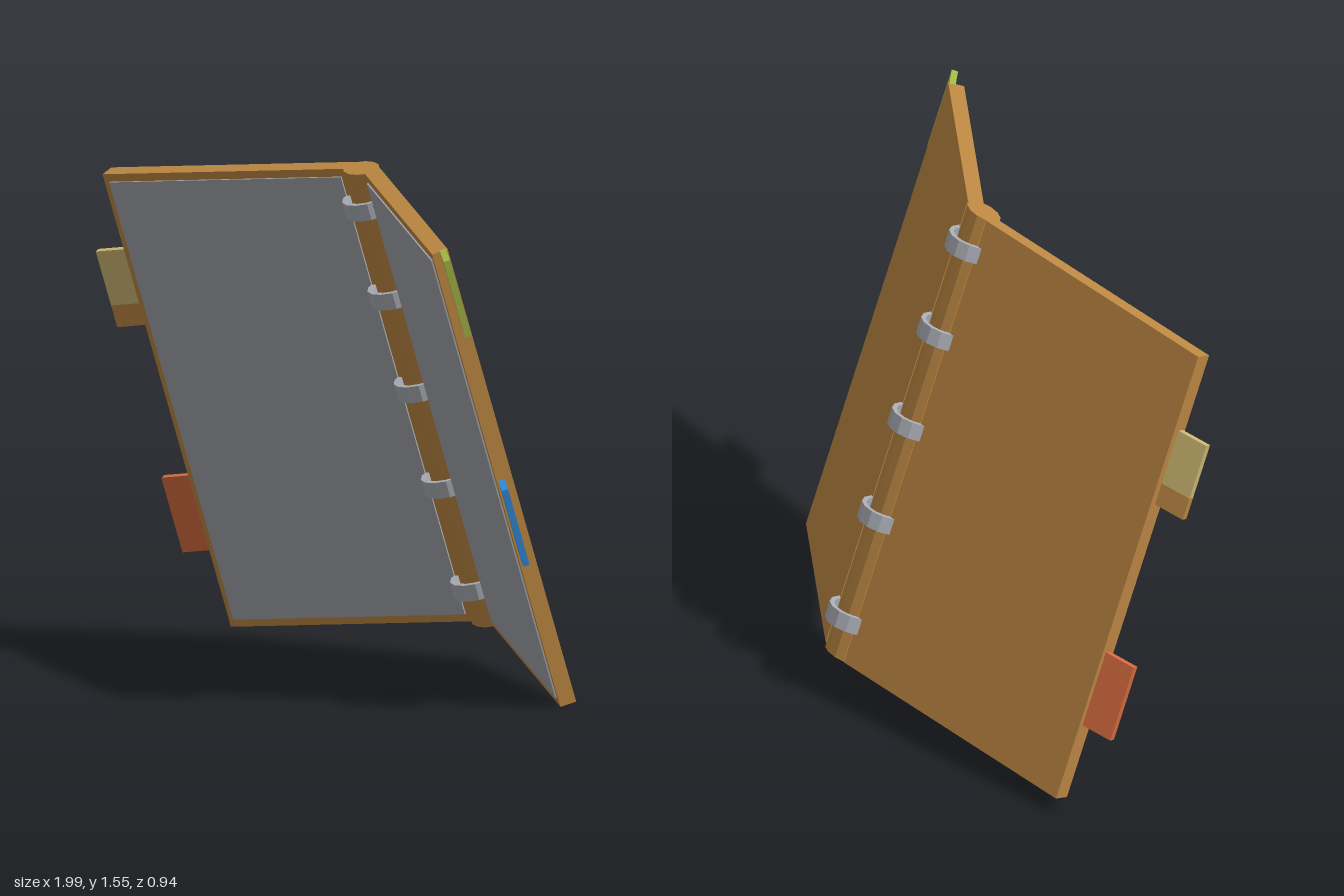
import * as THREE from 'three';

const mat = (name, color, extra = {}) => {
  const m = new THREE.MeshStandardMaterial({ color, ...extra });
  m.name = name;
  return m;
};

const H = 1.485;          // binder height
const LEN = 0.905;        // cover width
const T = 0.05;           // cover thickness
const HINGE = 0.067;      // half width of the spine
const deg = THREE.MathUtils.degToRad;

export function createModel() {
  const leather = mat('leather brown', 0xc08a44, { flatShading: true });
  const lining = mat('lining grey', 0xa2a5aa);
  const steel = mat('ring steel', 0xacb0b7, { flatShading: true });
  const green = mat('tab green', 0xa9bc48);
  const blue = mat('tab blue', 0x338fe0);
  const tan = mat('tab tan', 0xd0bb74);
  const red = mat('tab red', 0xd96d40);

  const model = new THREE.Group();
  model.name = 'openBinder';

  // Whole binder leans forward, then turns slightly about its spine
  const lean = new THREE.Group();
  lean.name = 'leaningBinder';
  lean.rotation.x = deg(18.8);
  model.add(lean);
  const binder = new THREE.Group();
  binder.name = 'binder';
  binder.position.set(0.021, -0.01, -0.453);
  binder.rotation.y = deg(-3.25);
  lean.add(binder);

  const add = (parent, name, geometry, material, x = 0, y = 0, z = 0) => {
    const mesh = new THREE.Mesh(geometry, material);
    mesh.name = name;
    mesh.position.set(x, y, z);
    parent.add(mesh);
    return mesh;
  };

  // Spine: flattened column
  const spineGeo = new THREE.CylinderGeometry(1, 1, H, 12).scale(0.071, 1, 0.047);
  add(binder, 'spine', spineGeo, leather, 0, H / 2, 0);

  // Rings: hollow flat bands around the spine
  const bandProfile = [
    [0.068, -0.026], [0.083, -0.026], [0.083, 0.026], [0.068, 0.026], [0.068, -0.026],
  ].map(([r, y]) => new THREE.Vector2(r, y));
  const ringGeo = new THREE.LatheGeometry(bandProfile, 14);
  for (const y of [0.125, 0.462, 0.776, 1.08, 1.372]) {
    add(binder, 'ring', ringGeo, steel, 0, y, 0);
  }

  // Cover with its lining and index tabs; side is +1 (left) or -1 (right)
  const addCover = (side, name, tabs) => {
    const cover = new THREE.Group();
    cover.name = name;
    cover.position.set(side * HINGE, 0, -0.024);
    cover.rotation.y = -side * deg(21.5);
    binder.add(cover);

    add(cover, 'coverBoard', new THREE.BoxGeometry(LEN, H, T), leather,
      side * LEN / 2, H / 2, T / 2);
    add(cover, 'lining', new THREE.BoxGeometry(0.86, H - 0.05, 0.006), lining,
      side * 0.455, H / 2, T + 0.002);

    for (const [tabName, w, pieces] of tabs) {
      const tab = new THREE.Group();
      tab.name = tabName;
      tab.position.set(side * LEN, 0, w);
      tab.rotation.y = -side * deg(7.5);
      cover.add(tab);
      for (const [y0, y1, material] of pieces) {
        add(tab, tabName + 'Piece', new THREE.BoxGeometry(0.115, y1 - y0, 0.02), material,
          side * 0.0475, (y0 + y1) / 2, 0);
      }
    }
  };

  addCover(1, 'leftCover', [
    ['greenTab', 0.014, [[1.238, 1.486, green]]],
    ['blueTab', 0.034, [[0.493, 0.741, blue]]],
  ]);
  addCover(-1, 'rightCover', [
    ['tanTab', 0.03, [[0.987, 1.058, leather], [1.058, 1.235, tan]]],
    ['redTab', 0.024, [[0.245, 0.49, red]]],
  ]);

  return model;
}
